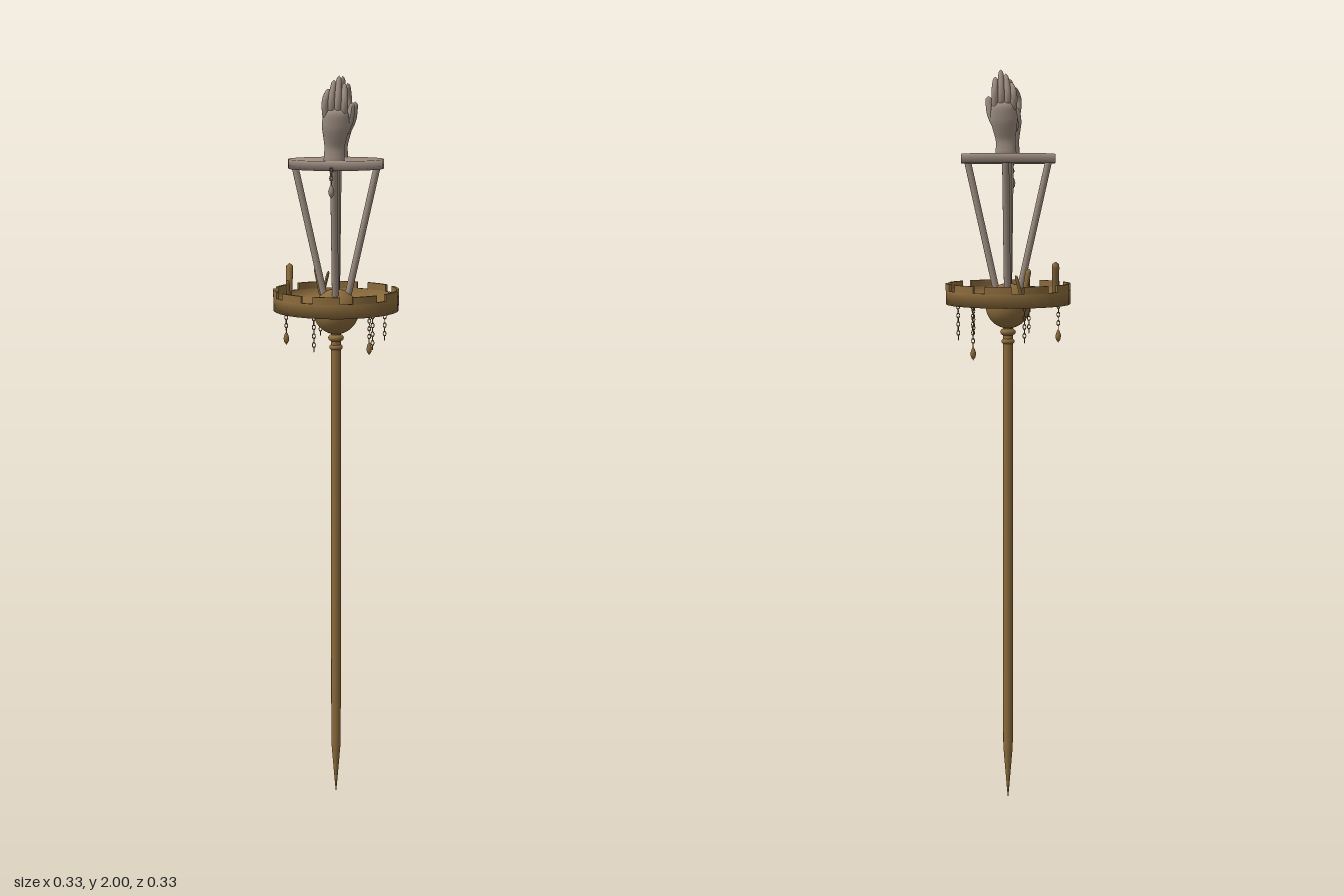
import * as THREE from 'three';

const V = (x, y, z) => new THREE.Vector3(x, y, z);
const bronze = new THREE.MeshStandardMaterial({ color: 0x8b6b3c });
bronze.name = 'bronze';
const stone = new THREE.MeshStandardMaterial({ color: 0x9c8c80 });
stone.name = 'taupe stone';

function add(parent, name, geometry, material) {
  const mesh = new THREE.Mesh(geometry, material);
  mesh.name = name;
  parent.add(mesh);
  return mesh;
}

// Turned part from [radius, height] pairs, listed bottom to top
const turned = (points, sides = 32) =>
  new THREE.LatheGeometry(points.map(([r, y]) => new THREE.Vector2(r, y)), sides);

// Tube with a radius that changes along its path, flattened in z, with round ends
function limb(points, radii, flat = 1, rings = 20, sides = 12) {
  const curve = new THREE.CatmullRomCurve3(points);
  const geometry = new THREE.TubeGeometry(curve, rings, 1, sides);
  const pos = geometry.attributes.position;
  const p = V(0, 0, 0);
  for (let i = 0; i <= rings; i++) {
    const t = i / rings;
    const c = curve.getPointAt(t);
    const f = t * (radii.length - 1);
    const k = Math.min(Math.floor(f), radii.length - 2);
    const end = Math.min(1, Math.min(t, 1 - t) / 0.12);
    const r = THREE.MathUtils.lerp(radii[k], radii[k + 1], f - k) * Math.sqrt(1 - (1 - end) ** 2);
    for (let j = 0; j <= sides; j++) {
      const n = i * (sides + 1) + j;
      p.fromBufferAttribute(pos, n).sub(c).multiplyScalar(r);
      pos.setXYZ(n, c.x + p.x, c.y + p.y, c.z + p.z * flat);
    }
  }
  geometry.computeVertexNormals();
  return geometry;
}

// Upright hand; side is +1 at the front and -1 at the back, palms facing inwards
function hand(side) {
  const group = new THREE.Group();
  group.name = side > 0 ? 'frontHand' : 'backHand';
  const at = (x, y, z) => V(x, y, z * side);
  add(group, 'palm', limb(
    [at(0, 1.775, 0.09), at(0.001, 1.825, 0.089), at(0.004, 1.87, 0.097), at(0.006, 1.925, 0.105)],
    [0.03, 0.026, 0.025, 0.03, 0.035, 0.033, 0.028], 0.55), stone);
  const fingers = [[-0.019, -0.012, 1.968], [-0.005, 0.001, 1.99], [0.01, 0.013, 2], [0.025, 0.026, 1.982]];
  for (const [x, tipX, tipY] of fingers) {
    add(group, 'finger', limb(
      [at(x, 1.895, 0.102), at(x * 1.1, 1.94, 0.109), at(tipX, tipY, 0.092)],
      [0.009, 0.009, 0.008, 0.006], 0.9, 16, 10), stone);
  }
  add(group, 'thumb', limb(
    [at(0.018, 1.85, 0.093), at(0.038, 1.89, 0.088), at(0.046, 1.935, 0.083)],
    [0.012, 0.011, 0.008], 0.9, 16, 10), stone);
  return group;
}

// Chain of crossed links with an optional drop at the end
function chain(x, z, top, bottom, drop, material) {
  const group = new THREE.Group();
  group.name = 'hangingChain';
  const end = drop ? bottom + 0.035 : bottom;
  const count = Math.max(2, Math.round((top - end) / 0.011));
  const step = (top - end) / count;
  for (let i = 0; i < count; i++) {
    const link = add(group, 'link', new THREE.TorusGeometry(0.004, 0.0012, 5, 8), material);
    link.scale.y = 1.6;
    link.rotation.y = (i % 2) * Math.PI / 2;
    link.position.set(x, top - (i + 0.5) * step, z);
  }
  if (drop) {
    const pendant = add(group, 'pendant',
      turned([[0, 0], [0.006, 0.008], [0.008, 0.018], [0.004, 0.03], [0, 0.036]], 10), material);
    pendant.position.set(x, bottom, z);
  }
  return group;
}

// Forked twig: a thick arm and a thin arm leaving one foot
function fork(foot, thickTip, thinTip, r) {
  const group = new THREE.Group();
  group.name = 'forkedTwig';
  const straight = (a, b) => [a, a.clone().lerp(b, 0.5), b];
  add(group, 'thickArm', limb(straight(foot, thickTip), [r * 0.8, r], 1, 14, 10), bronze);
  add(group, 'thinArm', limb(straight(foot, thinTip), [r * 0.6, r * 0.5], 1, 14, 10), bronze);
  return group;
}

export function createModel() {
  const model = new THREE.Group();
  model.name = 'handStaff';

  // Pointed shaft, collar and ball
  add(model, 'shaft', turned([[0, 0], [0.003, 0.03], [0.012, 0.14], [0.0135, 0.17], [0.0135, 1.36]], 16), bronze);
  for (const [y, r] of [[1.3, 0.018], [1.325, 0.021]]) {
    const ring = add(model, 'collar', new THREE.SphereGeometry(r, 20, 10), bronze);
    ring.scale.y = 0.55;
    ring.position.y = y;
  }
  add(model, 'ball', new THREE.SphereGeometry(0.06, 28, 18), bronze).position.y = 1.395;

  // Lower tray with a notched rim
  add(model, 'lowerTray', turned(
    [[0, 1.4], [0.166, 1.4], [0.166, 1.437], [0.159, 1.437], [0.159, 1.412], [0, 1.412]]), bronze);
  const teeth = 10;
  for (let i = 0; i < teeth; i++) {
    const a = (i / teeth) * Math.PI * 2;
    const b = a + (Math.PI * 2 / teeth) * 0.68;
    const shape = new THREE.Shape();
    shape.absarc(0, 0, 0.166, a, b, false);
    shape.absarc(0, 0, 0.159, b, a, true);
    const geometry = new THREE.ExtrudeGeometry(shape, { depth: 0.019, bevelEnabled: false, curveSegments: 4 });
    geometry.rotateX(-Math.PI / 2).translate(0, 1.436, 0);
    add(model, 'rimTooth', geometry, bronze);
  }

  // Twigs standing in the lower tray
  model.add(fork(V(-0.128, 1.415, -0.03), V(-0.128, 1.515, -0.068), V(-0.128, 1.478, 0), 0.01));
  model.add(fork(V(-0.046, 1.415, -0.13), V(-0.061, 1.5, -0.119), V(-0.028, 1.485, -0.144), 0.008));

  // Centre pole and four splayed struts
  add(model, 'centrePole', new THREE.CylinderGeometry(0.009, 0.009, 0.35, 12), stone).position.y = 1.6;
  for (let i = 0; i < 4; i++) {
    const a = i * Math.PI / 2;
    const dir = V(Math.cos(a), 0, Math.sin(a));
    const path = new THREE.LineCurve3(
      dir.clone().multiplyScalar(0.03).setY(1.43), dir.clone().multiplyScalar(0.107).setY(1.775));
    add(model, 'strut', new THREE.TubeGeometry(path, 1, 0.009, 12), stone);
  }

  // Upper tray, bud and hands
  add(model, 'upperTray', turned([[0, 1.768], [0.124, 1.768], [0.124, 1.792], [0, 1.792]]), stone);
  add(model, 'bud', turned([[0.014, 1.79], [0.009, 1.8], [0.008, 1.835], [0.015, 1.842], [0.025, 1.852],
    [0.029, 1.866], [0.025, 1.885], [0.015, 1.902], [0.006, 1.91], [0, 1.912]], 24), stone);
  model.add(hand(1), hand(-1));

  // Hanging chains
  const chains = [[-0.135, -0.027, 1.3, true], [-0.05, 0.13, 1.31, false], [0.1, 0.09, 1.31, false],
    [0.085, -0.106, 1.26, true], [0.128, -0.06, 1.31, false], [-0.05, -0.13, 1.31, false]];
  for (const [x, z, bottom, drop] of chains) model.add(chain(x, z, 1.402, bottom, drop, bronze));
  model.add(chain(-0.005, 0.127, 1.775, 1.7, true, stone));

  return model;
}
